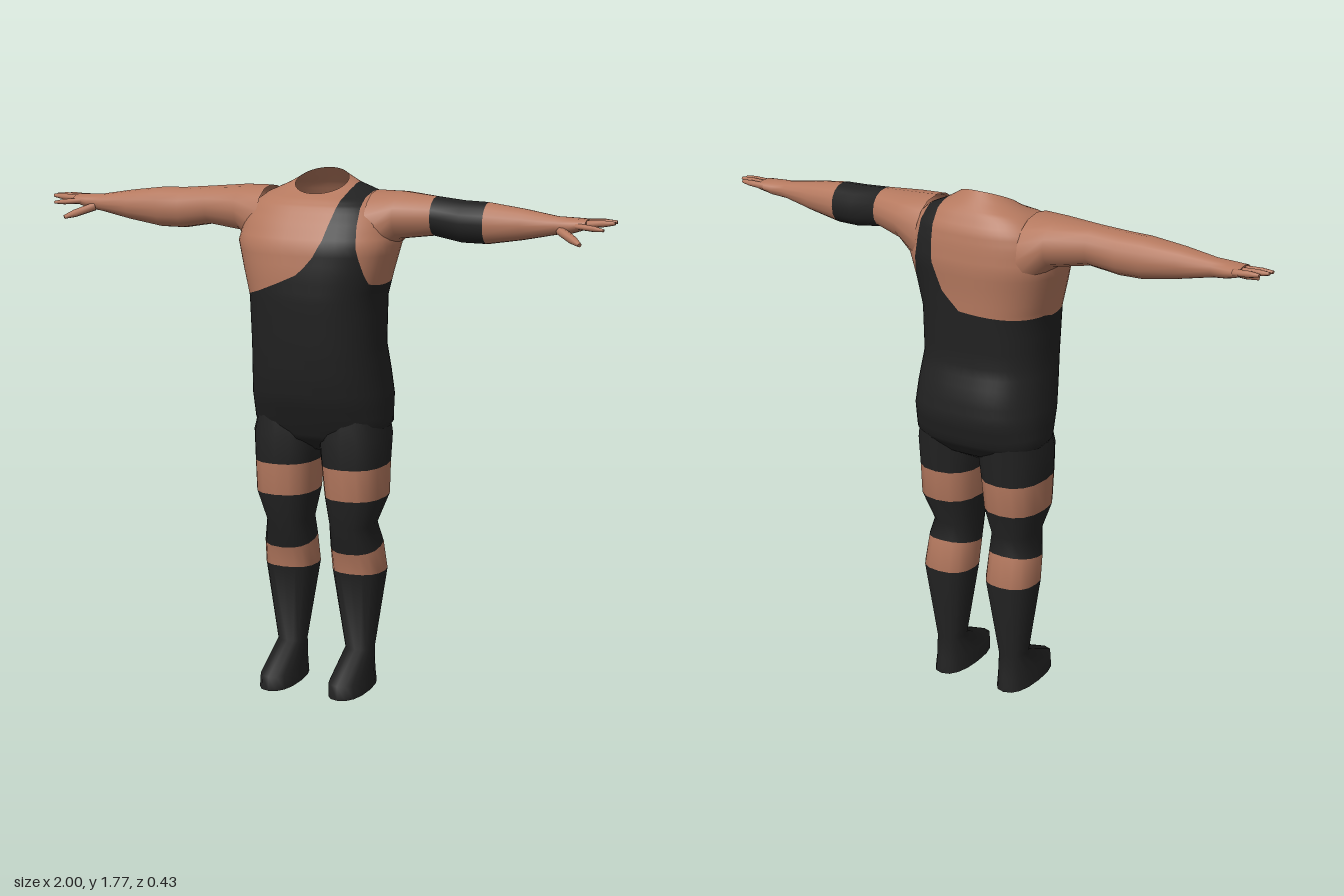
import * as THREE from 'three';

const skin = new THREE.MeshStandardMaterial({ color: 0xb5795f, side: THREE.DoubleSide });
skin.name = 'skin';
const black = new THREE.MeshStandardMaterial({ color: 0x222222, side: THREE.DoubleSide });
black.name = 'black cloth';
const V = (x, y, z) => new THREE.Vector3(x, y, z);
const SKIN = 0, BLACK = 1;

// Skin a row of rings {c, u, v, n, mat}; the rings advance along u x v
function loft(rings, sides, { capStart = false, capEnd = false } = {}) {
  const pos = [], index = [], geo = new THREE.BufferGeometry();
  const pushRing = (r) => {
    const p = 2 / (r.n ?? 2);
    for (let j = 0; j < sides; j++) {
      const t = (j / sides) * Math.PI * 2, a = Math.cos(t), b = Math.sin(t);
      const q = r.c.clone()
        .addScaledVector(r.u, Math.sign(a) * Math.abs(a) ** p)
        .addScaledVector(r.v, Math.sign(b) * Math.abs(b) ** p);
      pos.push(q.x, q.y, q.z);
    }
  };
  rings.forEach(pushRing);
  for (let i = 0; i < rings.length - 1; i++) {
    geo.addGroup(index.length, sides * 6, rings[i].mat ?? SKIN);
    for (let j = 0; j < sides; j++) {
      const k = (j + 1) % sides, a = i * sides, b = a + sides;
      index.push(a + j, a + k, b + j, a + k, b + k, b + j);
    }
  }
  const cap = (r, flip) => {
    const base = pos.length / 3;
    pushRing(r);
    geo.addGroup(index.length, (sides - 2) * 3, r.mat ?? SKIN);
    for (let j = 1; j < sides - 1; j++) {
      index.push(base, base + (flip ? j + 1 : j), base + (flip ? j : j + 1));
    }
  };
  if (capStart) cap(rings[0], true);
  if (capEnd) cap(rings[rings.length - 1], false);
  geo.setAttribute('position', new THREE.Float32BufferAttribute(pos, 3));
  geo.setIndex(index);
  geo.computeVertexNormals();
  return geo;
}

// Horizontal ring: height, centre x, half width, front z, back z, slope along z
const level = (y, cx, w, zf, zb, tilt = 0, mat = SKIN, n = 2.5) => ({
  c: V(cx, y, (zf + zb) / 2), u: V(w, 0, 0),
  v: V(0, tilt * (zf - zb) / 2, (zf - zb) / 2), n, mat,
});

// Piecewise linear lookup in [key, value] pairs with ascending keys
function lookup(table, k) {
  if (k <= table[0][0]) return table[0][1];
  for (let i = 1; i < table.length; i++) {
    const [k0, v0] = table[i - 1], [k1, v1] = table[i];
    if (k <= k1) return v0 + ((v1 - v0) * (k - k0)) / (k1 - k0);
  }
  return table[table.length - 1][1];
}

// Keep the part of a geometry where rule(x, y, z) * sign is positive
function clip(geo, rule, sign) {
  const P = geo.attributes.position.array, N = geo.attributes.normal.array;
  const idx = geo.index.array, pos = [], nor = [];
  for (let t = 0; t < idx.length; t += 3) {
    const tri = [0, 1, 2].map((k) => {
      const o = idx[t + k] * 3;
      const d = [P[o], P[o + 1], P[o + 2], N[o], N[o + 1], N[o + 2]];
      return { d, f: sign * rule(d[0], d[1], d[2]) };
    });
    const out = [];
    tri.forEach((a, k) => {
      const b = tri[(k + 1) % 3];
      if (a.f >= 0) out.push(a.d);
      if (a.f >= 0 !== b.f >= 0) {
        const s = a.f / (a.f - b.f);
        out.push(a.d.map((q, m) => q + (b.d[m] - q) * s));
      }
    });
    for (let k = 1; k < out.length - 1; k++) {
      for (const d of [out[0], out[k], out[k + 1]]) {
        pos.push(d[0], d[1], d[2]);
        nor.push(d[3], d[4], d[5]);
      }
    }
  }
  const g = new THREE.BufferGeometry();
  g.setAttribute('position', new THREE.Float32BufferAttribute(pos, 3));
  g.setAttribute('normal', new THREE.Float32BufferAttribute(nor, 3));
  return g;
}

// Edges of the one-shoulder singlet: x of the neckline and armhole by height
const frontNeckline = [[1.34, -0.5], [1.36, -0.225], [1.4, -0.11], [1.45, 0], [1.5, 0.05],
  [1.56, 0.08], [1.65, 0.1], [1.73, 0.115]];
const backNeckline = [[1.355, -0.5], [1.37, -0.12], [1.385, 0], [1.45, 0.07], [1.55, 0.11], [1.7, 0.115]];
const armhole = [[1.37, 0.5], [1.395, 0.225], [1.45, 0.21], [1.53, 0.19], [1.6, 0.18], [1.73, 0.17]];
const singletRule = (x, y, z) =>
  Math.min(x - lookup(z > 0 ? frontNeckline : backNeckline, y), lookup(armhole, y) - x);

function addTorso(group) {
  const key = [
    level(1.735, 0, 0.09, 0.07, -0.09, -0.45, SKIN, 2),
    level(1.715, 0, 0.14, 0.085, -0.125, -0.2, SKIN, 2),
    level(1.695, 0, 0.19, 0.105, -0.15, -0.1),
    level(1.66, 0, 0.235, 0.13, -0.178),
    level(1.61, 0, 0.26, 0.165, -0.188),
    level(1.54, 0, 0.272, 0.203, -0.195),
    level(1.45, 0, 0.248, 0.213, -0.187),
    level(1.36, 0, 0.225, 0.215, -0.183),
    level(1.2, 0, 0.222, 0.2, -0.175),
    level(1.1, 0, 0.23, 0.185, -0.205),
    level(1.02, 0, 0.237, 0.165, -0.215),
    level(0.93, 0, 0.236, 0.125, -0.19),
    level(0.88, 0, 0.2, 0.1, -0.15),
    level(0.83, 0, 0.06, 0.02, -0.06),
  ];
  // Extra rings in between keep the cloth edge crisp
  const rings = [key[0]];
  for (let i = 1; i < key.length; i++) {
    for (let s = 1; s <= 3; s++) {
      const a = key[i - 1], b = key[i], t = s / 3;
      rings.push({ c: a.c.clone().lerp(b.c, t), u: a.u.clone().lerp(b.u, t),
        v: a.v.clone().lerp(b.v, t), n: a.n + (b.n - a.n) * t });
    }
  }
  const body = loft(rings, 48, { capEnd: true });
  add(group, 'bareTorso', clip(body, singletRule, -1), skin);
  add(group, 'singlet', clip(body, singletRule, 1), black);
}

function add(group, name, geo, mat) {
  const mesh = new THREE.Mesh(geo, mat);
  mesh.name = name;
  group.add(mesh);
}

// Leg with shorts hem, knee pad and boot
function addLeg(group, s, side) {
  const ring = (y, inner, outer, zf, zb, mat, tilt = 0) =>
    level(y, (s * (inner + outer)) / 2, (outer - inner) / 2, zf, zb, tilt, mat, 2.4);
  const rings = [
    ring(0.98, 0.02, 0.215, 0.11, -0.17, BLACK),
    ring(0.89, 0.002, 0.235, 0.12, -0.162, BLACK),
    ring(0.79, 0.013, 0.23, 0.12, -0.155, SKIN),
    ring(0.68, 0.022, 0.228, 0.108, -0.145, BLACK),
    ring(0.58, 0.04, 0.19, 0.09, -0.11, BLACK),
    ring(0.502, 0.035, 0.208, 0.063, -0.12, SKIN, -0.19),
    ring(0.41, 0.033, 0.215, 0.04, -0.14, BLACK),
    ring(0.13, 0.078, 0.175, 0.005, -0.1, BLACK),
    ring(0.05, 0.068, 0.185, 0.165, -0.115, BLACK),
    ring(0, 0.065, 0.19, 0.165, -0.12, BLACK),
  ];
  add(group, side + 'Leg', loft(rings, 16, { capEnd: true }), [skin, black]);
}

// Arm, with a band on the left one, and hand
function addArm(group, s, side) {
  const ring = (x, top, bottom, zf, zb, mat = SKIN) => ({
    c: V(s * x, (top + bottom) / 2, (zf + zb) / 2),
    u: V(0, (top - bottom) / 2, 0), v: V(0, 0, (s * (zf - zb)) / 2), n: 2.2, mat,
  });
  const band = s > 0 ? BLACK : SKIN;
  const rings = [
    ring(0.19, 1.712, 1.46, 0.11, -0.155),
    ring(0.28, 1.71, 1.555, 0.085, -0.145),
    ring(0.4, 1.7, 1.572, 0.06, -0.09, band),
    ring(0.5, 1.692, 1.555, 0.068, -0.08, band),
    ring(0.58, 1.69, 1.555, 0.065, -0.073),
    ring(0.7, 1.675, 1.575, 0.057, -0.055),
    ring(0.81, 1.657, 1.598, 0.043, -0.035),
    ring(0.86, 1.655, 1.604, 0.045, -0.042),
    ring(0.91, 1.652, 1.62, 0.04, -0.05),
  ];
  add(group, side + 'Arm', loft(rings, 16, { capEnd: true }), [skin, black]);

  // Fingers and thumb: root, tip, radius
  const digits = [
    [[0.89, 1.637, -0.036], [0.978, 1.643, -0.042], 0.014],
    [[0.89, 1.637, -0.012], [1, 1.645, -0.016], 0.014],
    [[0.89, 1.636, 0.012], [1, 1.643, 0.01], 0.014],
    [[0.88, 1.632, 0.032], [0.975, 1.625, 0.055], 0.012],
    [[0.83, 1.615, 0.035], [0.912, 1.582, 0.102], 0.017],
  ];
  digits.forEach(([a, b, r], i) => {
    const A = V(s * a[0], a[1], a[2]), B = V(s * b[0], b[1], b[2]);
    const dir = B.clone().sub(A).normalize();
    const v = dir.clone().cross(V(0, 1, 0)).normalize();
    const u = v.clone().cross(dir);
    const parts = [[0, 1], [0.65, 0.9], [1, 0.45]].map(([t, k]) => ({
      c: A.clone().lerp(B, t), u: u.clone().multiplyScalar(r * k * 0.85), v: v.clone().multiplyScalar(r * k),
    }));
    add(group, side + (i < 4 ? 'Finger' + (i + 1) : 'Thumb'), loft(parts, 8, { capEnd: true }), [skin, black]);
  });
}

export function createModel() {
  const group = new THREE.Group();
  group.name = 'wrestlerBody';
  addTorso(group);
  for (const [s, side] of [[1, 'left'], [-1, 'right']]) {
    addLeg(group, s, side);
    addArm(group, s, side);
  }
  return group;
}
